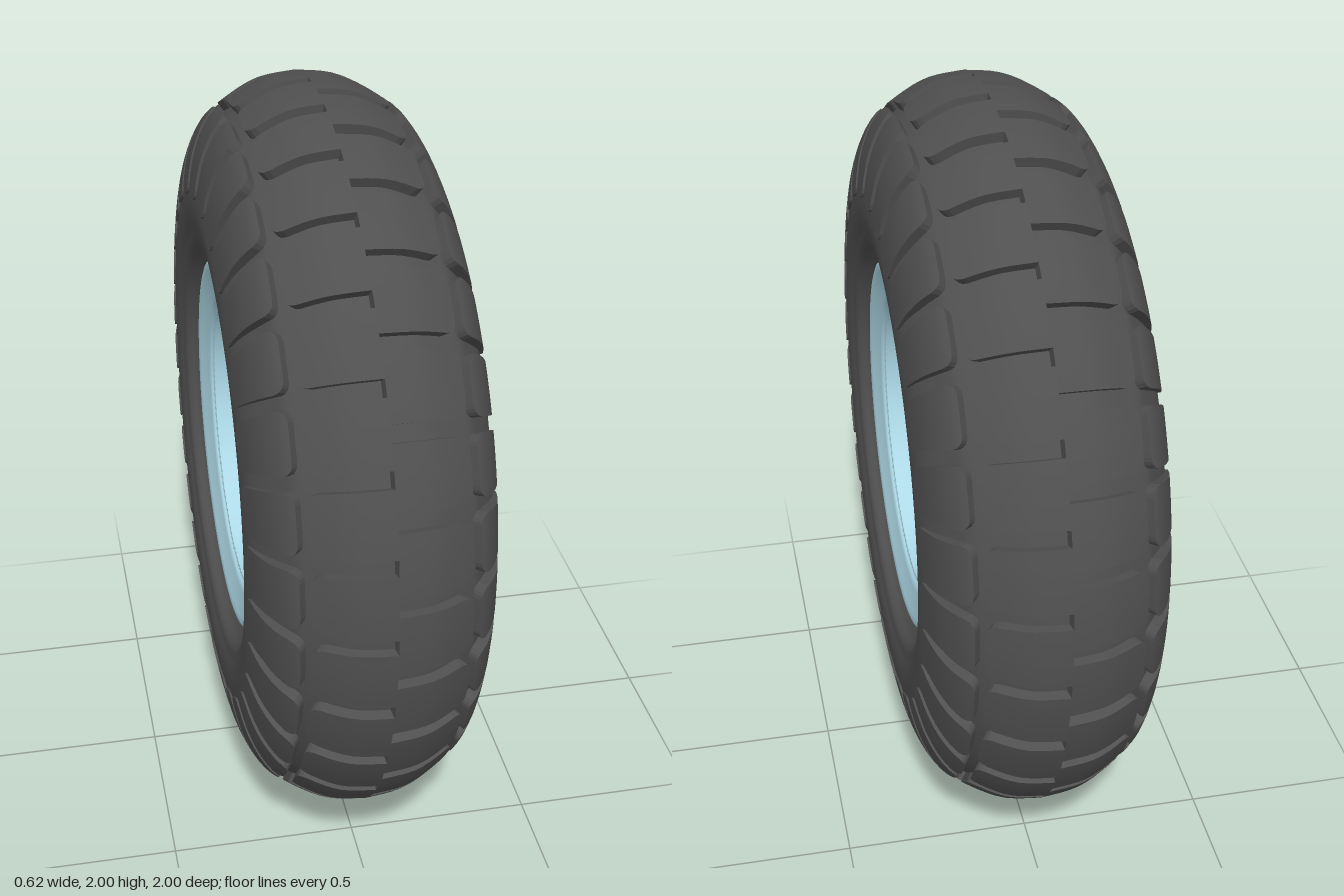
import * as THREE from 'three';
import { mergeGeometries } from 'three/addons/utils/BufferGeometryUtils.js';

const V2 = (x, y) => new THREE.Vector2(x, y);
const rubber = new THREE.MeshStandardMaterial({ color: 0x505050, side: THREE.DoubleSide });
const paint = new THREE.MeshStandardMaterial({ color: 0xadd8e6, side: THREE.DoubleSide });
const LUGS = 30, PITCH = 2 * Math.PI / LUGS;

// Half section of the tyre, (x, radius), from crown to bead
const section = new THREE.SplineCurve([
  V2(0, 1), V2(0.1, 0.985), V2(0.2, 0.93), V2(0.25, 0.885), V2(0.29, 0.8), V2(0.312, 0.69),
  V2(0.312, 0.62), V2(0.29, 0.565), V2(0.265, 0.545), V2(0.245, 0.52), V2(0.2, 0.505)]);
const LENGTH = section.getLength();

// Point at arc length s on the section, sunk below the lug tops by d
function sectionPoint(s, d = 0) {
  const p = section.getPointAt(s / LENGTH), t = section.getTangentAt(s / LENGTH);
  return V2(p.x + t.y * d, p.y - t.x * d);
}
// Groove depth, fading out down the sidewall
function depth(s) {
  const r = section.getPointAt(s / LENGTH).y;
  return 0.006 + 0.022 * THREE.MathUtils.smoothstep(r, 0.7, 0.88);
}

// Spin a (x, radius) profile round the axle
function spin(profile, segments = 120) {
  return new THREE.LatheGeometry(profile.map(p => V2(p.y, p.x)), segments).rotateZ(-Math.PI / 2);
}

// One raised tread block between arc lengths s0 and s1, with rounded corners
function lug(s0, s1, gap, roundStart, side) {
  const c = 0.03, ease = [0, 0.06, 0.2, 0.5, 1], rows = [], cols = 6;
  const a = roundStart ? s0 + c : s0, b = s1 - c;
  if (roundStart) ease.slice(0, -1).forEach(k => rows.push(s0 + k * c));
  for (let i = 0; i <= 8; i++) rows.push(a + (b - a) * i / 8);
  ease.slice(0, -1).reverse().forEach(k => rows.push(s1 - k * c));

  const at = (i, j, sunk) => {
    const s = rows[i], p = sectionPoint(s, sunk ? depth(s) + 0.004 : 0);
    const e = Math.min(roundStart ? s - s0 : c, s1 - s, c);
    const cut = c - Math.sqrt(Math.max(0, c * c - (c - e) ** 2));
    const r = sectionPoint(s).y;
    const angle = (PITCH / 2 - (gap / 2 + cut) / r) * (2 * j / cols - 1);
    return [side * p.x, p.y * Math.sin(angle), p.y * Math.cos(angle)];
  };
  const pos = [], idx = [], n = rows.length;
  const quad = (p, q, r, s) => side > 0 ? idx.push(p, q, r, p, r, s) : idx.push(p, r, q, p, s, r);
  // Top face
  for (let i = 0; i < n; i++) for (let j = 0; j <= cols; j++) pos.push(...at(i, j, false));
  for (let i = 0; i < n - 1; i++) for (let j = 0; j < cols; j++) {
    const k = i * (cols + 1) + j;
    quad(k, k + cols + 1, k + cols + 2, k + 1);
  }
  // Side walls
  const rim = [];
  for (let i = 0; i < n; i++) rim.push([i, 0]);
  for (let j = 1; j <= cols; j++) rim.push([n - 1, j]);
  for (let i = n - 2; i >= 0; i--) rim.push([i, cols]);
  for (let j = cols - 1; j > 0; j--) rim.push([0, j]);
  rim.forEach((p, k) => {
    const q = rim[(k + 1) % rim.length], o = pos.length / 3;
    pos.push(...at(...p, false), ...at(...p, true), ...at(...q, true), ...at(...q, false));
    quad(o, o + 1, o + 2, o + 3);
  });
  const g = new THREE.BufferGeometry();
  g.setAttribute('position', new THREE.Float32BufferAttribute(pos, 3));
  g.setIndex(idx);
  g.computeVertexNormals();
  return g;
}

// Repeat a lug round the tyre
function lugRing(geometry, offset) {
  const copies = [];
  for (let i = 0; i < LUGS; i++) copies.push(geometry.clone().rotateX(i * PITCH + offset));
  return mergeGeometries(copies);
}

// Flat round plate across the axle with keyed bore and optional bolt holes
function plate(radius, x0, x1, bolts) {
  const shape = new THREE.Shape().absarc(0, 0, radius, 0, 2 * Math.PI);
  const bore = new THREE.Path(), key = 0.4;
  bore.absarc(0, 0, 0.048, key, 2 * Math.PI - key);
  bore.lineTo(0.064, -0.0187);
  bore.lineTo(0.064, 0.0187);
  bore.closePath();
  shape.holes.push(bore);
  for (let i = 0; bolts && i < 6; i++) {
    const a = Math.PI / 2 + i * Math.PI / 3;
    shape.holes.push(new THREE.Path().absarc(0.178 * Math.cos(a), 0.178 * Math.sin(a), 0.021, 0, 2 * Math.PI));
  }
  return new THREE.ExtrudeGeometry(shape, { depth: x1 - x0, bevelEnabled: false, curveSegments: 40 })
    .translate(0, 0, x0).rotateY(Math.PI / 2);
}

// Dished half of the rim; the valve hole opens the seam at +z
function rimHalf(side, valveHole) {
  const dish = new THREE.SplineCurve([V2(0.015, 0.268), V2(0.016, 0.295), V2(0.028, 0.325),
    V2(0.055, 0.35), V2(0.11, 0.372), V2(0.17, 0.385), V2(0.236, 0.396)]).getPoints(48);
  const lip = [V2(0.218, 0.399), V2(0.218, 0.405), V2(0.238, 0.409), V2(0.243, 0.425),
    V2(0.25, 0.455), V2(0.26, 0.48), V2(0.264, 0.495), V2(0.26, 0.506), V2(0.25, 0.51), V2(0.2, 0.505)];
  const g = spin([...dish, ...lip].map(p => V2(side * p.x, p.y)));
  if (valveHole) {
    const p = g.attributes.position, perRing = dish.length + lip.length, C = 0.315, R = 0.04;
    for (let i = 0; i < p.count; i++) {
      const r = Math.hypot(p.getY(i), p.getZ(i));
      const k = (r * r + C * C - R * R) / (2 * r * C);
      if (k >= 1) continue;
      const open = Math.acos(k), turn = Math.floor(i / perRing) / 120;
      const a = open + (2 * Math.PI - 2 * open) * turn;
      p.setY(i, -r * Math.sin(a));
      p.setZ(i, r * Math.cos(a));
    }
  }
  return g;
}

export function createModel() {
  const wheel = new THREE.Group();
  wheel.name = 'wheel';
  const add = (name, geometry, material) => {
    const m = new THREE.Mesh(geometry, material);
    m.name = name;
    wheel.add(m);
  };

  // Tyre carcass at groove-floor level
  const half = [];
  for (let i = 0; i <= 60; i++) {
    const s = LENGTH * i / 60;
    half.push(sectionPoint(s, s < 0.6 ? depth(s) : 0));
  }
  half[0].x = 0;
  const mirrored = half.slice(1).reverse().map(p => V2(-p.x, p.y));
  add('tyreCarcass', spin([...mirrored, ...half]), rubber);

  // Tread: the two halves interlock by half a pitch
  for (const side of [1, -1]) {
    const offset = side > 0 ? 0 : PITCH / 2, label = side > 0 ? 'Left' : 'Right';
    add('crownLugs' + label, lugRing(lug(0, 0.212, 0.043, false, side), offset), rubber);
    add('shoulderLugs' + label, lugRing(lug(0.238, 0.488, 0.037, true, side), offset), rubber);
    add('rim' + label, rimHalf(side, side > 0), paint);
  }

  // Centre disc and hub
  add('centreDisc', plate(0.276, -0.015, 0.015, true), paint);
  add('hubFlange', plate(0.22, -0.032, -0.015, true), paint);
  add('hubBoss', plate(0.085, 0.015, 0.032, false), paint);
  add('hubTube', plate(0.105, -0.216, -0.032, false), paint);

  wheel.position.y = 1;
  const model = new THREE.Group();
  model.add(wheel);
  return model;
}
